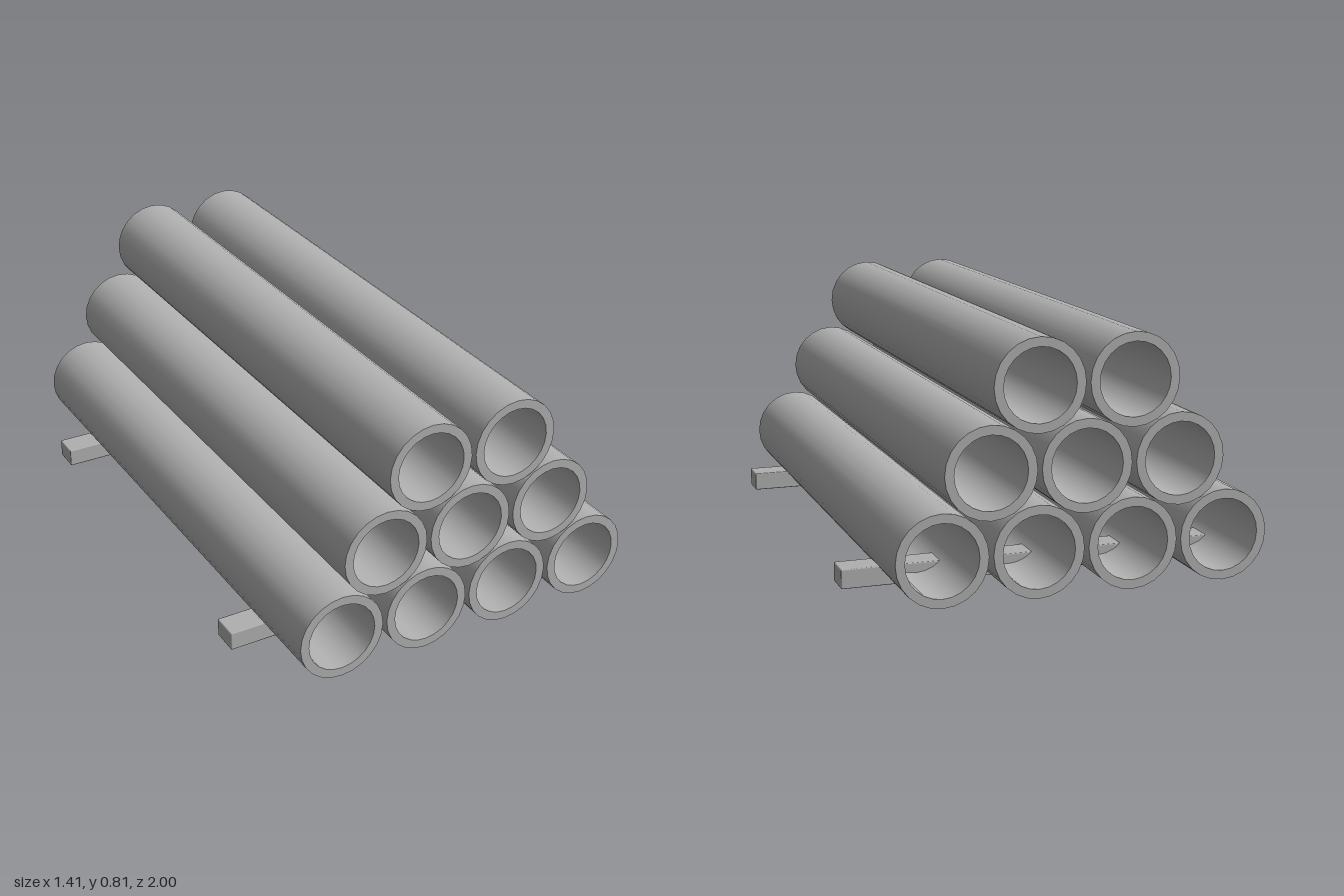
import * as THREE from 'three';
import { toCreasedNormals } from 'three/addons/utils/BufferGeometryUtils.js';
import { RoundedBoxGeometry } from 'three/addons/geometries/RoundedBoxGeometry.js';

export function createModel() {
  const model = new THREE.Group();
  model.name = 'pipeStack';
  const concrete = new THREE.MeshStandardMaterial({ name: 'grey', color: 0xb0b0b0 });

  // Hollow pipe: closed wall section turned about its axis, laid along z
  const outer = 0.148, inner = 0.118, half = 1;
  const wall = [[outer, -half], [outer, half], [inner, half], [inner, -half], [outer, -half]]
    .map(([r, y]) => new THREE.Vector2(r, y));
  const pipeGeometry = toCreasedNormals(new THREE.LatheGeometry(wall, 24), Math.PI / 6);
  pipeGeometry.rotateX(Math.PI / 2);

  // Three stacked rows of four, three and two pipes
  const spacing = 0.31, rise = 0.259;
  [4, 3, 2].forEach((count, row) => {
    for (let i = 0; i < count; i++) {
      const pipe = new THREE.Mesh(pipeGeometry, concrete);
      pipe.name = `pipeRow${row + 1}Number${i + 1}`;
      pipe.position.set((i - (count - 1) / 2) * spacing, 0.15 + row * rise, 0);
      model.add(pipe);
    }
  });

  // Two bearers running under the stack
  const bearerGeometry = new RoundedBoxGeometry(1.414, 0.064, 0.096, 1, 0.004);
  for (const [name, z] of [['frontBearer', 0.665], ['backBearer', -0.665]]) {
    const bearer = new THREE.Mesh(bearerGeometry, concrete);
    bearer.name = name;
    bearer.position.set(0, 0.033, z);
    model.add(bearer);
  }
  return model;
}
